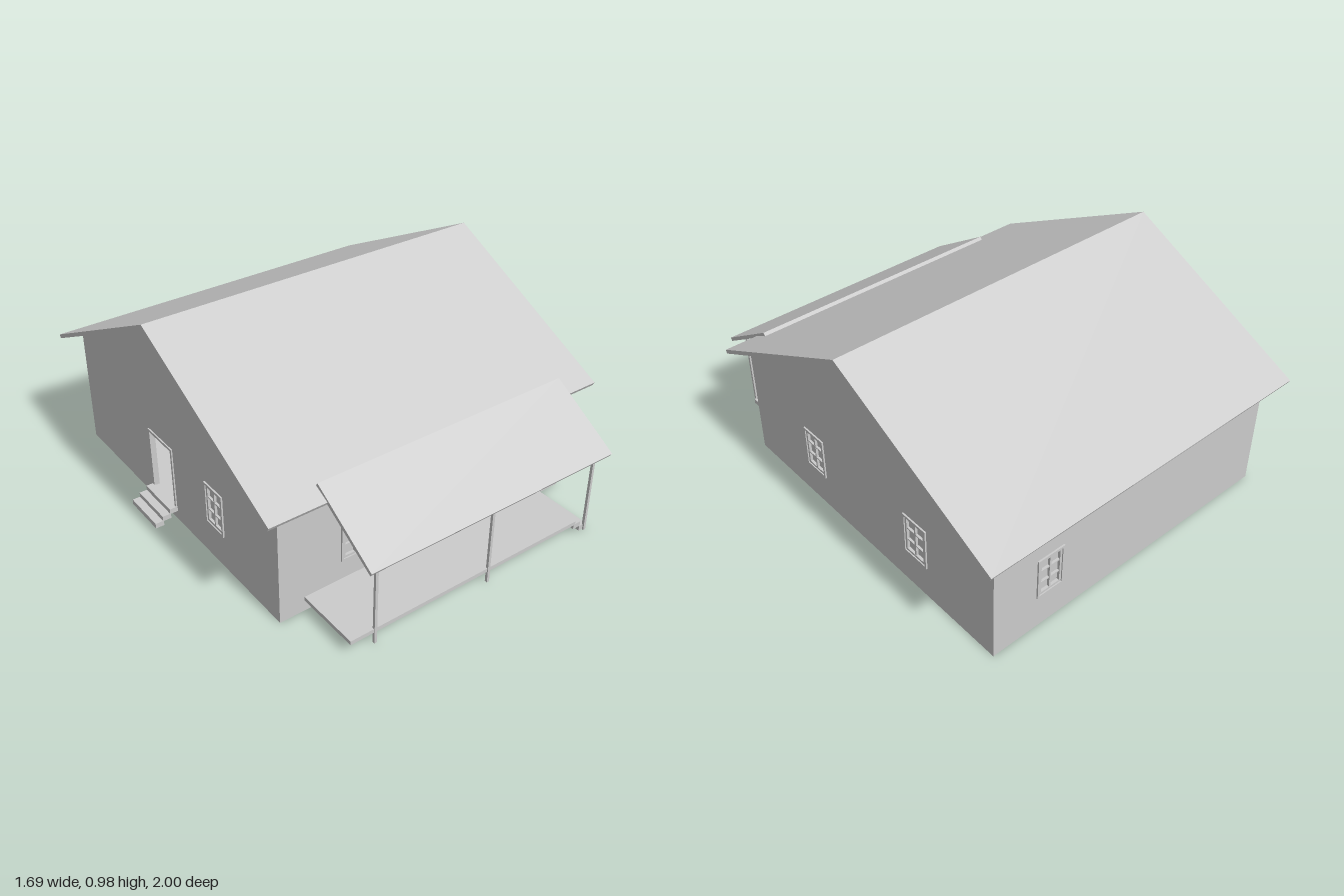
import * as THREE from 'three';

const mat = new THREE.MeshStandardMaterial({ color: 0xcccccc, flatShading: true, side: THREE.DoubleSide });
const T = 0.02; // wall thickness
// House footprint and gable line
const X0 = -0.735, X1 = 0.765, Z0 = -0.925, Z1 = 0.665, RIDGE = -0.13;
const EAVE = 0.558, PEAK = 0.953;

function box(name, x0, x1, y0, y1, z0, z1) {
  const m = new THREE.Mesh(new THREE.BoxGeometry(x1 - x0, y1 - y0, z1 - z0), mat);
  m.position.set((x0 + x1) / 2, (y0 + y1) / 2, (z0 + z1) / 2);
  m.name = name;
  return m;
}

function polygon(points, holes = []) {
  const shape = new THREE.Shape(points.map(p => new THREE.Vector2(p[0], p[1])));
  for (const [a, b, c, d] of holes) {
    shape.holes.push(new THREE.Path([[a, c], [a, d], [b, d], [b, c]].map(p => new THREE.Vector2(p[0], p[1]))));
  }
  return shape;
}

function extrude(name, shape, depth) {
  const m = new THREE.Mesh(new THREE.ExtrudeGeometry(shape, { depth, bevelEnabled: false }), mat);
  m.name = name;
  return m;
}

const rect = (a, b, c, d) => [[a, c], [b, c], [b, d], [a, d]];

// Wall facing local +z, outer face on z = 0
function wall(name, outline, openings) {
  const g = new THREE.Group();
  g.name = name;
  const panel = extrude(name + 'Panel', polygon(outline, openings), T);
  panel.position.z = -T;
  g.add(panel);
  return g;
}

// Rectangular surround around an opening
function surround(name, [a, b, c, d], w, front, depth) {
  const m = extrude(name, polygon(rect(a - w, b + w, c - w, d + w), [[a, b, c, d]]), depth);
  m.position.z = front - depth;
  return m;
}

function windowUnit(open, columns = 2, rows = 3) {
  const [a, b, c, d] = open, g = new THREE.Group();
  g.name = 'window';
  g.add(surround('windowTrim', open, 0.01, 0.007, 0.007));
  g.add(surround('windowSash', [a + 0.01, b - 0.01, c + 0.01, d - 0.01], 0.01, 0.002, 0.012));
  g.add(box('windowPane', a, b, c, d, -0.013, -0.01));
  for (let i = 1; i < columns; i++) {
    const x = a + (b - a) * i / columns;
    g.add(box('windowMullion', x - 0.004, x + 0.004, c, d, -0.01, 0.001));
  }
  for (let i = 1; i < rows; i++) {
    const y = c + (d - c) * i / rows;
    g.add(box('windowCrossbar', a, b, y - 0.003, y + 0.003, -0.01, 0));
  }
  return g;
}

// Door leaf with four recessed panels and a knob
function frontDoor([a, b, c, d]) {
  const g = new THREE.Group();
  g.name = 'frontDoor';
  const m = 0.022, mid = (a + b) / 2, split = c + 0.135, panels = [];
  for (const [l, r] of [[a + m, mid - 0.012], [mid + 0.012, b - m]]) {
    panels.push([l, r, c + 0.025, split - 0.01], [l, r, split + 0.01, d - 0.025]);
  }
  const leaf = extrude('doorLeaf', polygon(rect(a, b, c, d), panels), 0.008);
  leaf.position.z = -0.01;
  g.add(leaf, box('doorBack', a, b, c, d, -0.016, -0.01));
  for (const [l, r, y0, y1] of panels) {
    g.add(box('doorPanel', l + 0.008, r - 0.008, y0 + 0.008, y1 - 0.008, -0.01, -0.004));
  }
  const knob = new THREE.Mesh(new THREE.SphereGeometry(0.006, 10, 8), mat);
  knob.name = 'doorKnob';
  knob.position.set(b - 0.009, c + 0.125, 0.004);
  g.add(knob);
  return g;
}

// Three-sided trim around a doorway
function doorTrim([a, b, c, d], w = 0.012) {
  const pts = [[a - w, c], [a, c], [a, d], [b, d], [b, c], [b + w, c], [b + w, d + w], [a - w, d + w]];
  const m = extrude('doorTrim', polygon(pts), T + 0.006);
  m.position.z = -T;
  return m;
}

// Profile drawn as [z, y] points and swept from x0 to x1
function sweepX(name, points, x0, x1) {
  const m = extrude(name, polygon(points.map(([z, y]) => [-z, y])), x1 - x0);
  m.rotation.y = Math.PI / 2;
  m.position.x = x0;
  return m;
}

export function createModel() {
  const house = new THREE.Group();
  house.name = 'house';

  // Front wall: wide window, door, small window
  const wide = [-0.435, -0.195, 0.17, 0.352], small = [0.43, 0.545, 0.17, 0.352];
  const entry = [-0.012, 0.143, 0.07, 0.345];
  const front = wall('frontWall', rect(X0 + T, X1 - T, 0, EAVE), [wide, small, entry]);
  front.position.z = Z1;
  front.add(windowUnit(wide, 4), windowUnit(small), frontDoor(entry), doorTrim(entry));

  // Back wall: one window near the left end
  const rear = [-0.54, -0.425, 0.17, 0.35];
  const back = wall('backWall', rect(-X1 + T, -X0 - T, 0, EAVE), [rear]);
  back.position.z = Z0;
  back.rotation.y = Math.PI;
  back.add(windowUnit(rear));

  // Gable walls: two windows on the left, window and open doorway on the right
  const gable = s => {
    const [a, b] = s > 0 ? [-Z1, -Z0] : [Z0, Z1];
    return [[a, 0], [b, 0], [b, EAVE], [-s * RIDGE, PEAK], [a, EAVE]];
  };
  const leftOpenings = [[-0.265, -0.15, 0.17, 0.35], [0.41, 0.53, 0.17, 0.35]];
  const left = wall('leftGableWall', gable(1), leftOpenings);
  left.position.x = X1;
  left.rotation.y = Math.PI / 2;
  leftOpenings.forEach(o => left.add(windowUnit(o)));

  const sideWindow = [0.15, 0.265, 0.17, 0.35], sideDoor = [-0.315, -0.135, 0.065, 0.35];
  const right = wall('rightGableWall', gable(-1), [sideWindow, sideDoor]);
  right.position.x = X0;
  right.rotation.y = -Math.PI / 2;
  right.add(windowUnit(sideWindow), doorTrim(sideDoor));
  house.add(front, back, left, right);

  // Floor raised inside the walls
  house.add(box('floor', X0 + T, X1 - T, 0.05, 0.065, Z0 + T, Z1 - T));

  // Main roof
  house.add(sweepX('roof', [
    [0.735, 0.543], [RIDGE, 0.975], [-1, 0.543],
    [-0.992, 0.527], [RIDGE, PEAK], [0.727, 0.527],
  ], -0.815, 0.843));

  // Porch: deck, posts and lean-to roof
  const porch = new THREE.Group();
  porch.name = 'porch';
  porch.add(box('porchDeck', -0.62, 0.565, 0.052, 0.07, Z1, 0.96));
  for (const x of [-0.505, 0.067, 0.625]) {
    porch.add(box('porchPost', x - 0.006, x + 0.006, 0, 0.397, 0.952, 0.964));
  }
  porch.add(sweepX('porchRoof', [[1, 0.39], [0.673, 0.592], [0.663, 0.577], [0.991, 0.376]], -0.56, 0.685));
  for (let i = 0; i < 2; i++) {
    const x = 0.56 + i * 0.037;
    porch.add(box('porchStep', x, x + 0.04, 0.028 - i * 0.025, 0.052 - i * 0.025, Z1, 0.957));
  }
  house.add(porch);

  // Side door steps
  const steps = new THREE.Group();
  steps.name = 'sideSteps';
  for (let i = 0; i < 3; i++) {
    const x = -0.845 + i * 0.036;
    steps.add(box('sideStep', x, x + 0.04, i * 0.022, 0.024 + i * 0.022, -0.33, -0.12));
  }
  house.add(steps);
  return house;
}
